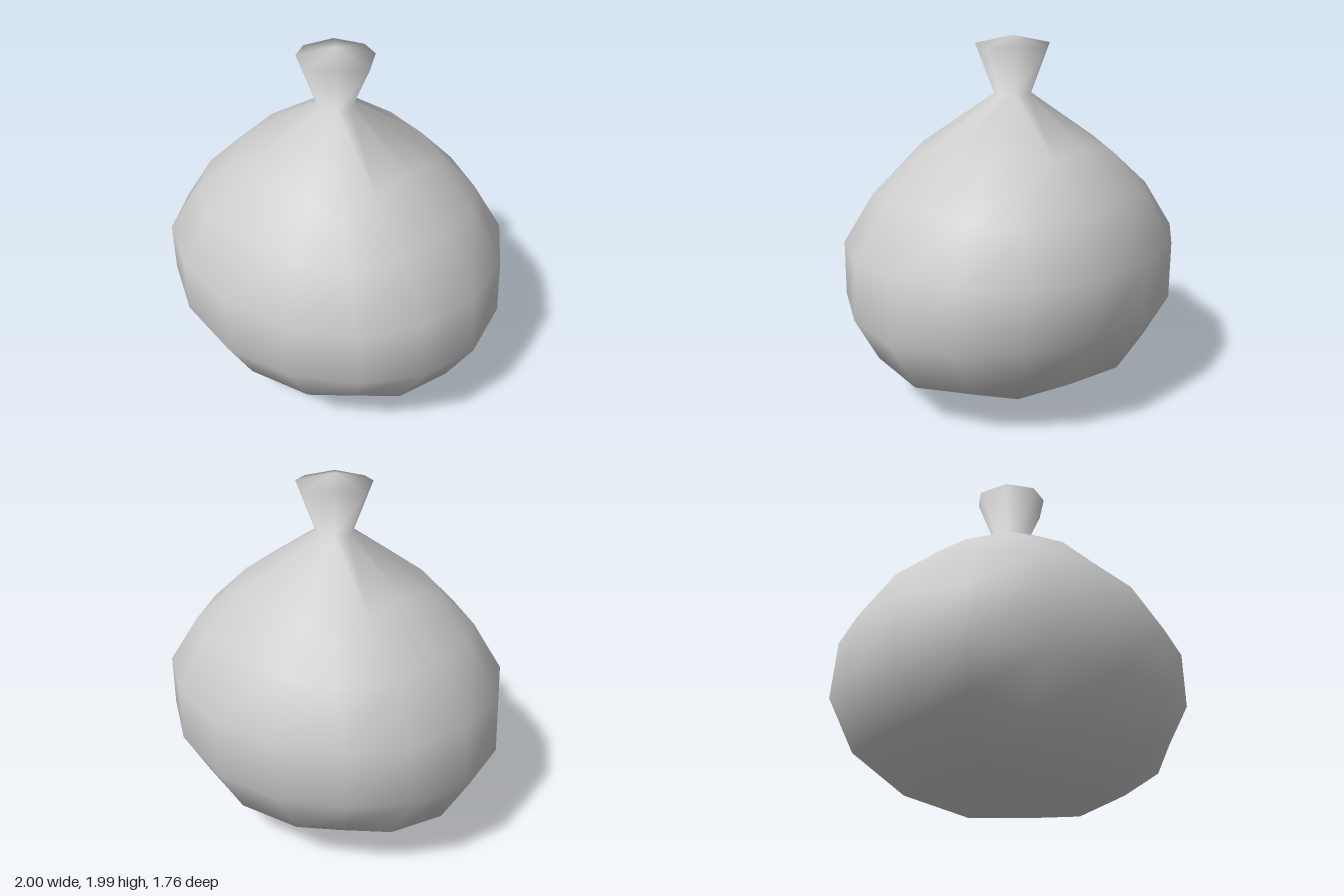
import * as THREE from 'three';
import { mergeVertices } from 'three/addons/utils/BufferGeometryUtils.js';

// Rows of a rounded, subdivided cube: [out, across, height] at a side's middle, halfway and corner
const lower = [
  [[0, 0, -0.873], [0, 0, -0.873], [0, 0, -0.873]],
  [[0.351, 0, -0.819], [0.326, 0.326, -0.764], [0.326, 0.326, -0.764]],
  [[0.643, 0, -0.643], [0.599, 0.302, -0.599], [0.509, 0.509, -0.509]],
  [[0.819, 0, -0.351], [0.764, 0.326, -0.326], [0.599, 0.599, -0.302]],
];
const middle = [[0.879, 0, 0], [0.819, 0.351, 0], [0.643, 0.643, 0]];
const upper = [lower[3], lower[2]].map(row => row.map(([a, b, h]) => [a, b, -h]));

// Sag of the sack: [cube height, final height, width factor, depth factor]
const sag = [
  [-0.873, 0, 1.38, 1.15], [-0.643, 0.23, 1.306, 1.12], [-0.351, 0.52, 1.22, 1.07],
  [0, 0.87, 1.1, 1], [0.351, 1.18, 0.94, 0.88], [0.643, 1.43, 0.775, 0.745],
];

function sagPoint([x, y, z]) {
  let i = 0;
  while (i < sag.length - 2 && y > sag[i + 1][0]) i++;
  const t = (y - sag[i][0]) / (sag[i + 1][0] - sag[i][0]);
  const [, height, width, depth] = sag[i].map((v, k) => THREE.MathUtils.lerp(v, sag[i + 1][k], t));
  return [x * width, height, z * depth];
}

// Repeat one eighth of a row into a closed ring of 16 points
function ring([side, half, corner]) {
  const points = [];
  for (let q = 0; q < 4; q++) {
    const c = Math.round(Math.cos(q * Math.PI / 2)), s = Math.round(Math.sin(q * Math.PI / 2));
    const mirroredHalf = [half[1], half[0], half[2]];
    for (const [a, b, h] of [side, half, corner, mirroredHalf]) {
      points.push([a * c - b * s, h, a * s + b * c]);
    }
  }
  return points;
}

// Eight-sided neck ring: the halfway and corner points coincide
const neckRing = (r, y, diagonal, diagonalY) =>
  ring([[r, 0, y], [diagonal, diagonal, diagonalY], [diagonal, diagonal, diagonalY]]);

// Skin consecutive rings, dropping triangles that collapse to a line
function skin(rings) {
  const n = rings[0].length, index = [];
  for (let i = 0; i < rings.length - 1; i++) {
    for (let j = 0; j < n; j++) {
      const a = i * n + j, b = i * n + (j + 1) % n, c = a + n, d = b + n;
      index.push(a, c, b, b, c, d);
    }
  }
  let geometry = new THREE.BufferGeometry();
  geometry.setAttribute('position', new THREE.Float32BufferAttribute(rings.flat(2), 3));
  geometry.setIndex(index);
  geometry = mergeVertices(geometry, 1e-4);
  const old = geometry.index.array, kept = [];
  for (let i = 0; i < old.length; i += 3) {
    const [a, b, c] = [old[i], old[i + 1], old[i + 2]];
    if (a !== b && b !== c && c !== a) kept.push(a, b, c);
  }
  geometry.setIndex(kept);
  geometry.computeVertexNormals();
  return geometry;
}

export function createModel() {
  const group = new THREE.Group();
  group.name = 'tiedSack';

  // Sagging body
  const body = [...lower, middle, ...upper].map(row => ring(row).map(sagPoint));
  // Pinched neck, flared mouth and its shallow peak
  const neck = [
    neckRing(0.11, 1.68, 0.073, 1.68),
    neckRing(0.228, 1.935, 0.145, 1.952),
    neckRing(0, 1.993, 0, 1.993),
  ];

  const material = new THREE.MeshStandardMaterial({ color: 0xcccccc });
  const sack = new THREE.Mesh(skin([...body, ...neck]), material);
  sack.name = 'sackWithNeck';
  group.add(sack);
  return group;
}
